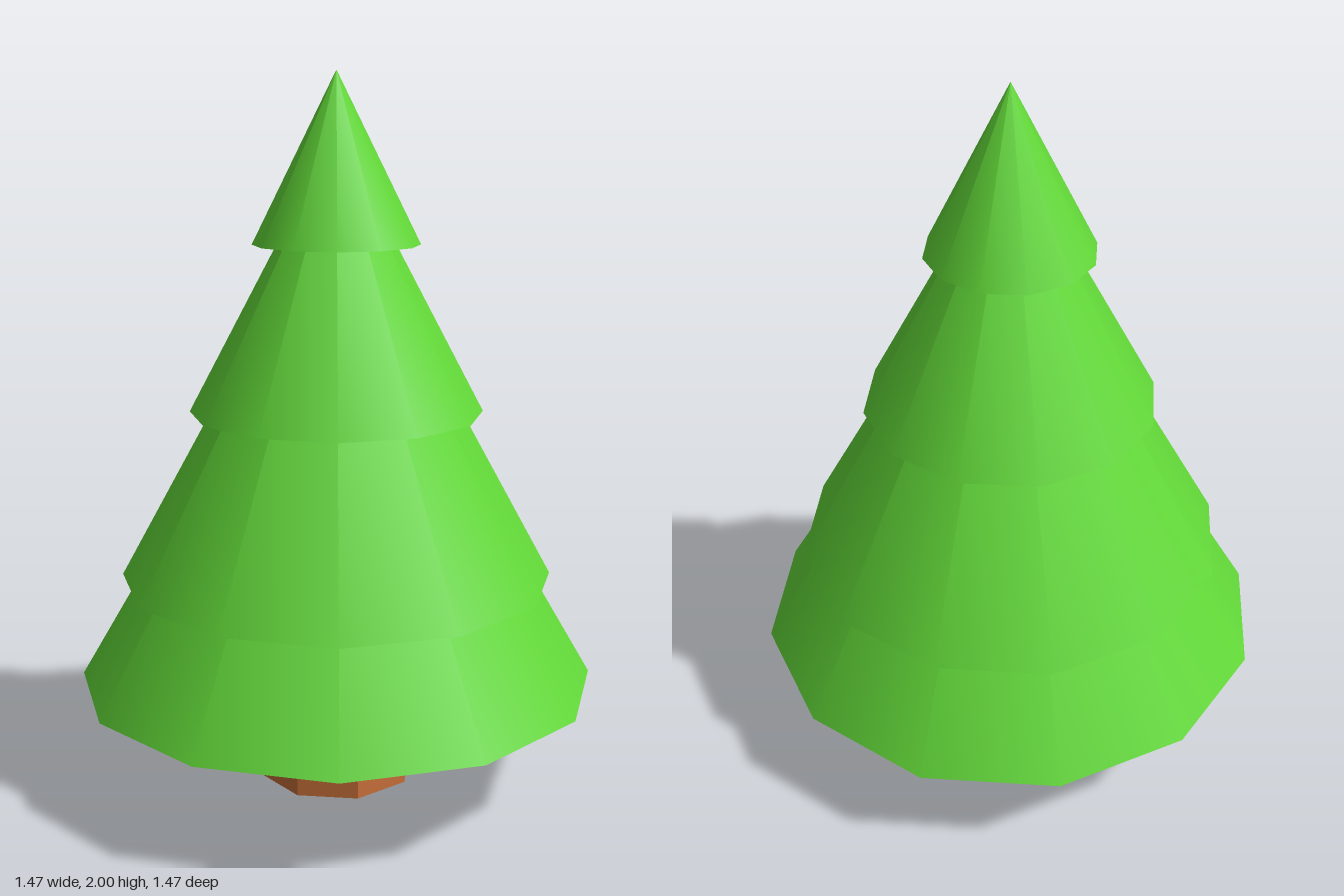
import * as THREE from 'three';

export function createModel() {
  const tree = new THREE.Group();
  tree.name = 'pineTree';

  const green = new THREE.MeshStandardMaterial({ color: 0x62d838 });
  const brown = new THREE.MeshStandardMaterial({ color: 0xc8703a, flatShading: true });

  // Octagonal trunk
  const trunkHeight = 0.3;
  const trunk = new THREE.Mesh(new THREE.CylinderGeometry(0.225, 0.225, trunkHeight, 8), brown);
  trunk.name = 'trunk';
  trunk.position.y = trunkHeight / 2;
  tree.add(trunk);

  // Overlapping foliage cones, bottom to top: [base y, base radius, apex y]
  const tiers = [
    [0.295, 0.735, 1.555],
    [0.595, 0.612, 1.71],
    [1.07, 0.411, 1.845],
    [1.535, 0.232, 2],
  ];
  tiers.forEach(([base, radius, apex], i) => {
    const cone = new THREE.Mesh(new THREE.ConeGeometry(radius, apex - base, 12), green);
    cone.name = `foliageTier${i + 1}`;
    cone.position.y = (base + apex) / 2;
    tree.add(cone);
  });

  return tree;
}
